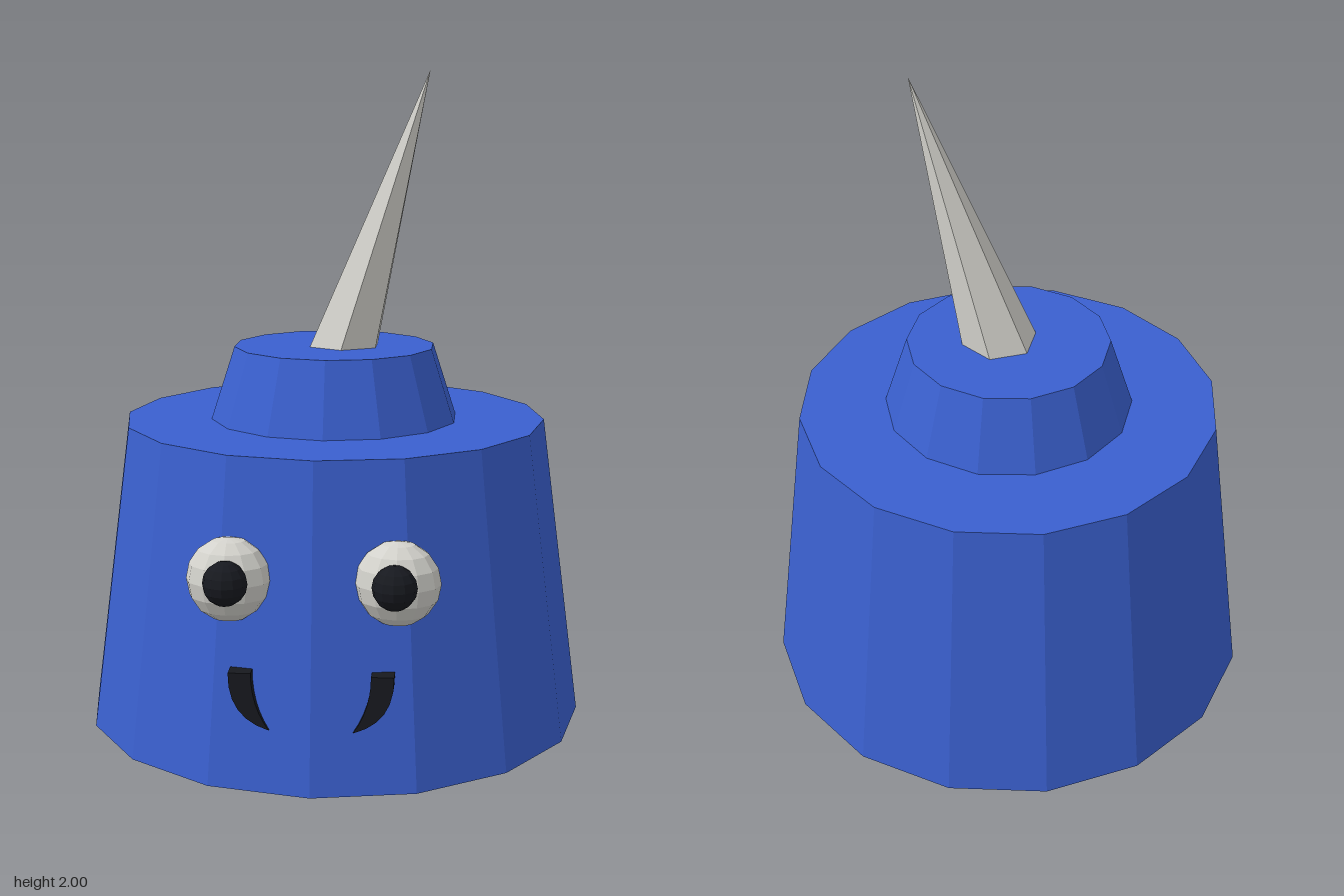
import * as THREE from 'three';

const paint = (name, color) => {
  const m = new THREE.MeshStandardMaterial({ color });
  m.name = name;
  m.flatShading = true;
  return m;
};

export function createModel() {
  const blue = paint('blue', 0x3a60cf);
  const bone = paint('bone', 0xd3d2cc);
  const black = paint('black', 0x17191f);
  const group = new THREE.Group();
  const axisZ = -0.025;

  const add = (name, geometry, material, x, y, z) => {
    const mesh = new THREE.Mesh(geometry, material);
    mesh.name = name;
    mesh.position.set(x, y, z);
    group.add(mesh);
    return mesh;
  };

  // Tapered body and the smaller collar on top
  add('body', new THREE.CylinderGeometry(0.652, 0.775, 0.935, 16), blue, 0, 0.4675, axisZ);
  add('collar', new THREE.CylinderGeometry(0.312, 0.385, 0.225, 14), blue, 0, 1.0475, axisZ);

  // Six-sided horn, sheared so that it leans to its left
  const hornHeight = 0.84;
  const horn = new THREE.ConeGeometry(0.117, hornHeight, 6);
  horn.translate(0, hornHeight / 2, 0);
  horn.applyMatrix4(new THREE.Matrix4().makeShear(0, 0, 0.26 / hornHeight, 0, 0, 0));
  add('horn', horn, bone, 0.03, 1.16, axisZ);

  // Curved fang outline, tip pointing to the middle
  const fangShape = new THREE.Shape();
  fangShape.moveTo(0.232, 0.345);
  fangShape.lineTo(0.168, 0.345);
  fangShape.quadraticCurveTo(0.168, 0.25, 0.118, 0.18);
  fangShape.quadraticCurveTo(0.235, 0.215, 0.232, 0.345);
  const fangGeometry = new THREE.ExtrudeGeometry(fangShape, {
    depth: 0.06, bevelEnabled: false, curveSegments: 6,
  });

  // Face: eyes, pupils and fangs on both sides
  for (const [label, side] of [['left', 1], ['right', -1]]) {
    const eye = add(label + 'Eye', new THREE.SphereGeometry(0.121, 12, 8), bone, side * 0.237, 0.595, 0.637);
    eye.scale.z = 0.82;
    add(label + 'Pupil', new THREE.SphereGeometry(0.063, 12, 8), black, side * 0.233, 0.61, 0.735);
    const fang = add(label + 'Fang', fangGeometry, black, 0, 0, 0.651);
    fang.scale.x = side;
  }
  return group;
}
